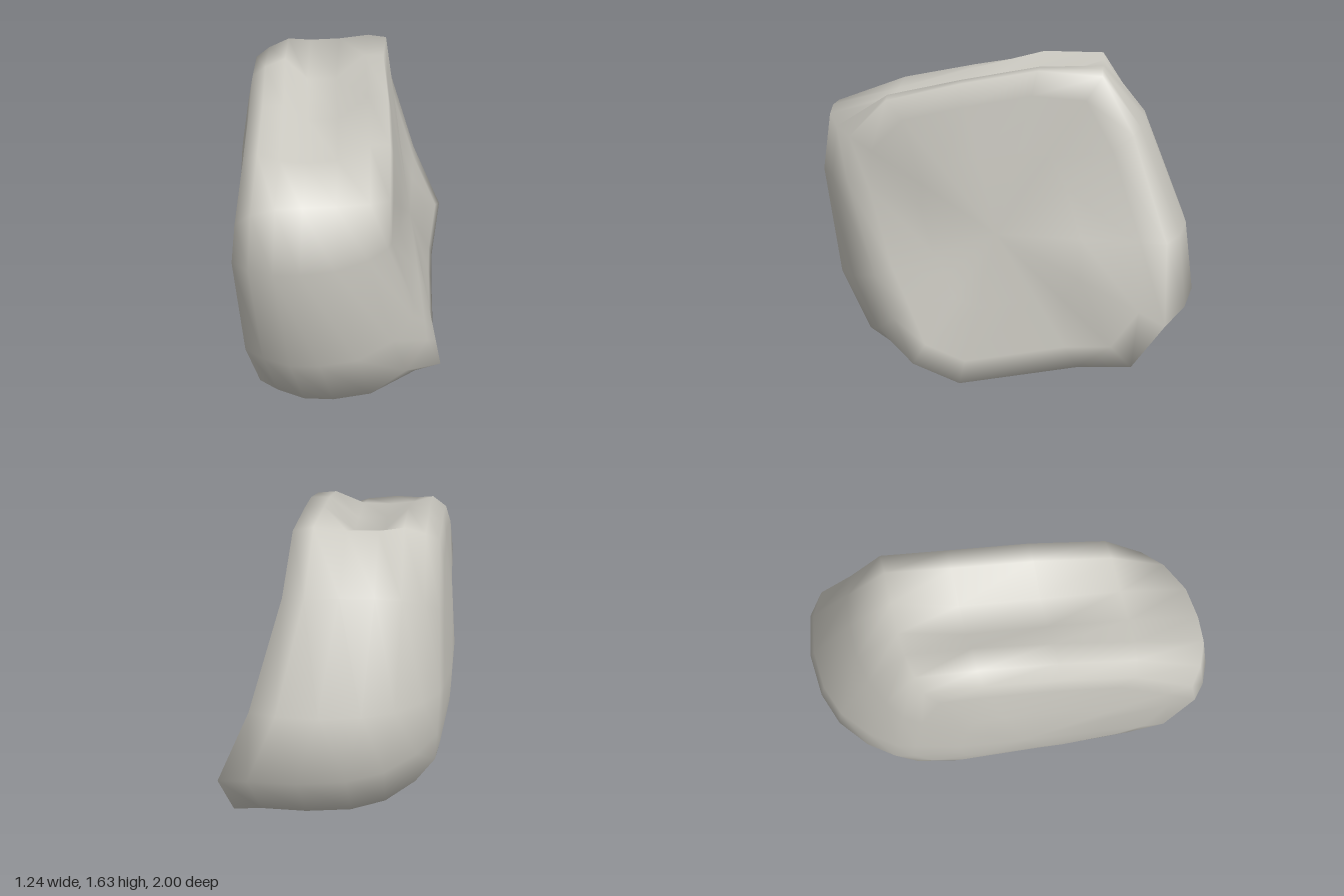
import * as THREE from 'three';

// Side outline of the boulder, front first, going over the top to the back and underneath.
// Each row: fullest z, y | left edge x, y, z | right edge x, y, z | sag of the middle
const OUTLINE = [
  [1.0, 0.98, -0.62, 1.0, 0.88, 0.12, 1.0, 0.80, 0],
  [0.95, 1.30, -0.60, 1.18, 0.85, 0.13, 1.24, 0.78, 0],
  [0.60, 1.46, -0.55, 1.37, 0.56, 0.15, 1.44, 0.58, 0.09],
  [0.20, 1.55, -0.51, 1.46, 0.18, 0.18, 1.54, 0.20, 0.12],
  [-0.20, 1.63, -0.48, 1.53, -0.18, 0.20, 1.62, -0.20, 0.13],
  [-0.52, 1.64, -0.45, 1.54, -0.46, 0.25, 1.61, -0.52, 0.03],
  [-0.74, 1.35, -0.45, 1.23, -0.58, 0.30, 1.33, -0.68, 0],
  [-0.96, 0.83, -0.46, 0.82, -0.64, 0.46, 0.82, -0.86, 0],
  [-1.0, 0.51, -0.45, 0.60, -0.66, 0.62, 0.45, -0.86, 0],
  [-0.74, 0.21, -0.45, 0.40, -0.55, 0.56, 0.20, -0.70, 0],
  [-0.45, 0.16, -0.47, 0.32, -0.36, 0.52, 0.17, -0.43, 0],
  [0.17, 0.01, -0.46, 0.16, 0.14, 0.45, 0.02, 0.18, 0],
  [0.35, 0.0, -0.47, 0.14, 0.30, 0.45, 0.12, 0.42, 0],
  [0.73, 0.13, -0.50, 0.20, 0.63, 0.36, 0.33, 0.53, 0],
  [0.90, 0.43, -0.57, 0.48, 0.79, 0.27, 0.53, 0.64, 0],
];

// Ring positions across the body, and ring sizes on the two side faces
const ACROSS = [0, 0.1, 0.25, 0.42, 0.64, 0.86, 1];
const SIDE_SIZES = [0.85, 0.5];
const LEFT_MID = new THREE.Vector3(-0.575, 0.8, 0);
const RIGHT_MID = new THREE.Vector3(0.33, 0.8, 0);

// One point of the skin, t = 0 on the left edge and 1 on the right edge
function skinPoint([z, y, xl, yl, zl, xr, yr, zr, sag], t) {
  const { lerp, smoothstep } = THREE.MathUtils;
  // the fullest place lies further left at the front and further right at the back
  const peak = 0.51 - 0.15 * z;
  const away = t < peak ? (peak - t) / peak : (t - peak) / (1 - peak);
  const full = 1 - away ** 2.6;
  return new THREE.Vector3(
    lerp(xl, xr, t),
    lerp(lerp(yl, yr, t), y, full) - sag * smoothstep(full, 0.8, 0.95),
    lerp(lerp(zl, zr, t), z, full),
  );
}

// A smaller ring on a side face; a dome above 1 rounds the face outward
function sideRing(t, mid, size, dome) {
  return OUTLINE.map((row) => {
    const edge = skinPoint(row, t);
    const point = mid.clone().lerp(edge, size);
    point.x = THREE.MathUtils.lerp(mid.x, edge.x, size ** dome);
    return point;
  });
}

function boulderGeometry() {
  const n = OUTLINE.length;
  const rings = [
    ...SIDE_SIZES.map((size) => sideRing(0, LEFT_MID, size, 1.7)).reverse(),
    ...ACROSS.map((t) => OUTLINE.map((row) => skinPoint(row, t))),
    ...SIDE_SIZES.map((size) => sideRing(1, RIGHT_MID, size, 1)),
  ];
  const points = [...rings.flat(), LEFT_MID, RIGHT_MID];
  const left = points.length - 2;
  const right = points.length - 1;
  const last = (rings.length - 1) * n;
  const index = [];

  for (let i = 0; i < n; i++) {
    const j = (i + 1) % n;
    // skin between neighbouring rings
    for (let r = 0; r < rings.length - 1; r++) {
      const a = r * n + i, b = r * n + j, c = a + n, d = b + n;
      index.push(a, c, b, b, c, d);
    }
    // centres of the side faces
    index.push(left, i, j, last + i, right, last + j);
  }

  const geometry = new THREE.BufferGeometry().setFromPoints(points);
  geometry.setIndex(index);
  geometry.computeVertexNormals();
  return geometry;
}

export function createModel() {
  const stone = new THREE.MeshStandardMaterial({ color: 0xcbc9c1 });
  stone.name = 'stone grey';

  const boulder = new THREE.Mesh(boulderGeometry(), stone);
  boulder.name = 'boulder';

  const group = new THREE.Group();
  group.name = 'rock';
  group.add(boulder);
  return group;
}
